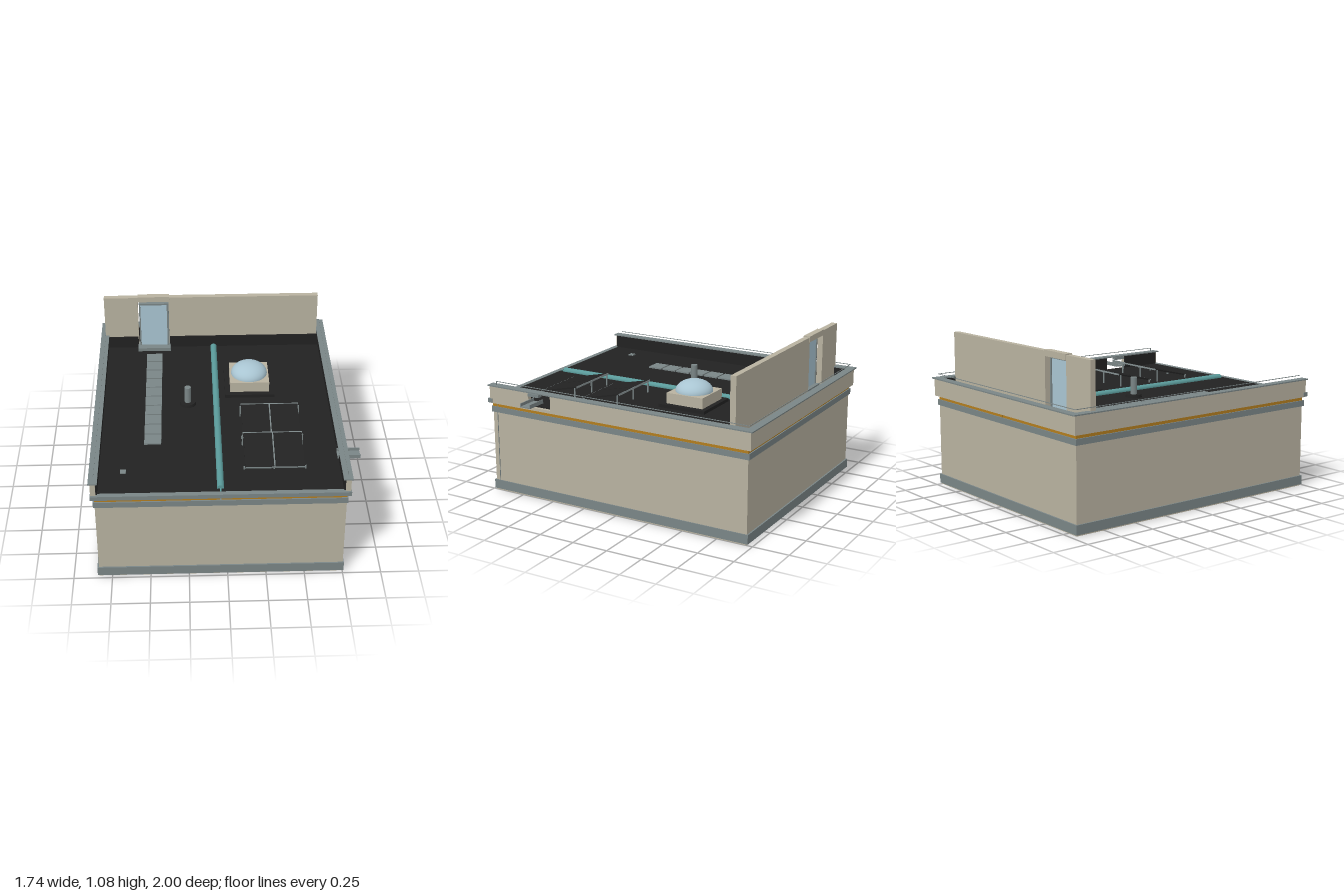
import * as THREE from 'three';

const mat = (name, color, extra = {}) => {
  const m = new THREE.MeshStandardMaterial({ color, ...extra });
  m.name = name;
  return m;
};

export function createModel() {
  const render = mat('render', 0xb8b2a0);
  const metal = mat('metal', 0x7a8586);
  const membrane = mat('membrane', 0x222222);
  const insulation = mat('insulation', 0xb27d1e);
  const teal = mat('teal', 0x5a9a9a);
  const glass = mat('glass', 0xa9c5d2);

  const root = new THREE.Group();
  root.name = 'flatRoofBuilding';

  const add = (name, geo, m, x, y, z, parent = root) => {
    const mesh = new THREE.Mesh(geo, m);
    mesh.name = name;
    mesh.position.set(x, y, z);
    parent.add(mesh);
    return mesh;
  };
  // Box given by its limits on each axis
  const box = (name, m, x0, x1, y0, y1, z0, z1, parent = root) =>
    add(name, new THREE.BoxGeometry(x1 - x0, y1 - y0, z1 - z0), m,
      (x0 + x1) / 2, (y0 + y1) / 2, (z0 + z1) / 2, parent);

  // Storey below the roof
  box('body', render, -0.835, 0.75, 0, 0.6, -0.96, 0.975);
  box('plinthBand', metal, -0.845, 0.757, 0.01, 0.073, -0.97, 0.985);
  box('upperBand', metal, -0.845, 0.757, 0.565, 0.605, -0.97, 0.985);

  // Roof build-up, insulation split by a narrow joint
  box('insulationLeft', insulation, -0.836, -0.05, 0.605, 0.632, -0.962, 0.976);
  box('insulationRight', insulation, -0.04, 0.752, 0.605, 0.632, -0.962, 0.976);
  box('roofDeck', membrane, -0.83, 0.745, 0.632, 0.66, -0.96, 0.97);
  box('frontEdgeTrim', metal, -0.86, 0.775, 0.633, 0.662, 0.965, 1.0);

  // Parapets on three sides, with an opening in the +x one
  box('parapetMinusX', render, -0.857, -0.824, 0.63, 0.75, -0.985, 0.985);
  box('parapetBack', render, -0.857, 0.77, 0.63, 0.75, -0.985, -0.955);
  const outer = [0.737, 0.77];
  box('parapetPlusX', render, ...outer, 0.63, 0.75, -0.985, 0.49);
  box('parapetPlusXFront', render, ...outer, 0.63, 0.75, 0.665, 0.985);
  box('parapetBelowOpening', render, ...outer, 0.63, 0.65, 0.49, 0.665);

  // Membrane turned up against the parapets
  box('upstandMinusX', membrane, -0.824, -0.815, 0.655, 0.749, -0.955, 0.975);
  box('upstandBack', membrane, -0.815, 0.728, 0.655, 0.749, -0.955, -0.947);
  box('upstandPlusX', membrane, 0.728, 0.737, 0.655, 0.749, -0.955, 0.49);
  box('upstandPlusXFront', membrane, 0.728, 0.737, 0.655, 0.749, 0.665, 0.975);

  // Parapet caps
  box('capMinusX', metal, -0.868, -0.81, 0.75, 0.758, -1, 0.995);
  box('capPlusX', metal, 0.72, 0.78, 0.75, 0.758, -1, 0.995);
  box('capBack', metal, -0.81, 0.72, 0.75, 0.758, -1, -0.945);

  // Overflow spout: an open channel through the opening
  const spout = new THREE.Group();
  spout.name = 'spout';
  root.add(spout);
  box('spoutFloor', metal, 0.72, 0.868, 0.675, 0.682, 0.58, 0.66, spout);
  for (const z of [0.58, 0.654]) box('spoutSide', metal, 0.72, 0.868, 0.675, 0.702, z, z + 0.006, spout);
  box('spoutHead', metal, 0.74, 0.776, 0.725, 0.745, 0.58, 0.665, spout);

  // Thin conductor wire around the parapets
  const w = 0.0018;
  box('wireMinusX', metal, -0.835 - w, -0.835 + w, 0.78, 0.784, -0.965, 0.94);
  box('wirePlusX', metal, 0.75 - w, 0.75 + w, 0.78, 0.784, -0.965, 0.94);
  box('wireBack', metal, -0.835, 0.75, 0.78, 0.784, -0.965 - w, -0.965 + w);
  box('wireDrop', metal, 0.75 - w, 0.75 + 2 * w, 0.075, 0.784, 0.94 - w, 0.94 + w);

  // Rear wall with a doorway
  const wz = [-0.852, -0.812];
  box('rearWallMinusX', render, -0.835, -0.592, 0.66, 1.068, ...wz);
  box('rearWallPlusX', render, -0.368, 0.715, 0.66, 1.068, ...wz);
  box('lintel', render, -0.592, -0.362, 1.035, 1.075, -0.855, -0.808);
  box('wallUpstandMinusX', membrane, -0.815, -0.595, 0.655, 0.747, -0.812, -0.804);
  box('wallUpstandPlusX', membrane, -0.365, 0.728, 0.655, 0.747, -0.812, -0.804);

  // Door
  const door = new THREE.Group();
  door.name = 'door';
  root.add(door);
  const dz = [-0.815, -0.787];
  box('doorStile', metal, -0.583, -0.573, 0.685, 1.032, ...dz, door);
  box('doorStile', metal, -0.382, -0.368, 0.685, 1.032, ...dz, door);
  box('doorHead', metal, -0.573, -0.382, 1.02, 1.032, ...dz, door);
  box('doorPane', glass, -0.573, -0.382, 0.685, 1.02, -0.808, -0.794, door);
  box('doorSill', metal, -0.597, -0.36, 0.662, 0.687, -0.84, -0.742, door);

  // Stepping slabs leading to the door
  for (let i = 0; i < 10; i++) {
    const z = -0.69 + i * 0.1147;
    box('paver', metal, -0.532, -0.42, 0.66, 0.67, z, z + 0.103);
  }

  // Expansion joint roll and its strip
  const roll = add('jointRoll', new THREE.CylinderGeometry(0.022, 0.022, 1.73, 20), teal, -0.044, 0.664, 0.07);
  roll.rotation.x = Math.PI / 2;
  box('jointStrip', teal, -0.048, -0.04, 0.655, 0.664, -0.947, 0.965);

  // Vent pipe and small drain
  add('ventFlange', new THREE.CylinderGeometry(0.052, 0.056, 0.02, 24), membrane, -0.24, 0.67, -0.035);
  add('ventPipe', new THREE.CylinderGeometry(0.022, 0.022, 0.135, 24), metal, -0.24, 0.7275, -0.035);
  box('drain', metal, -0.68, -0.643, 0.66, 0.668, 0.723, 0.76);

  // Domed skylight
  box('skylightFlashing', membrane, 0.02, 0.362, 0.66, 0.682, -0.443, -0.1);
  box('skylightCurb', render, 0.056, 0.327, 0.68, 0.755, -0.41, -0.14);
  const dome = new THREE.SphereGeometry(0.126, 32, 12, 0, Math.PI * 2, 0, Math.PI / 2);
  dome.scale(1, 0.63, 1);
  add('skylightDome', dome, glass, 0.192, 0.755, -0.275);

  // Two rows of tilted panels on rails
  for (const z of [0.265, 0.602]) {
    const row = new THREE.Group();
    row.name = 'panelRow';
    row.position.set(0.31, 0.712, z);
    row.rotation.x = 0.23;
    root.add(row);
    for (const x of [-0.19, 0.005]) box('panel', membrane, x, x + 0.185, -0.005, 0.005, -0.147, 0.147, row);
    box('rearRail', metal, -0.195, 0.195, -0.005, 0.006, -0.154, -0.147, row);
    box('frontRail', metal, -0.195, 0.195, -0.005, 0.005, 0.147, 0.151, row);
    box('middleRail', metal, -0.004, 0.004, -0.008, 0.003, -0.147, 0.147, row);
    for (const x of [0.113, 0.305, 0.507]) {
      box('rearLeg', metal, x - 0.004, x + 0.004, 0.66, 0.742, z - 0.136, z - 0.128);
      box('frontLeg', metal, x - 0.004, x + 0.004, 0.66, 0.682, z + 0.128, z + 0.136);
    }
  }
  return root;
}
